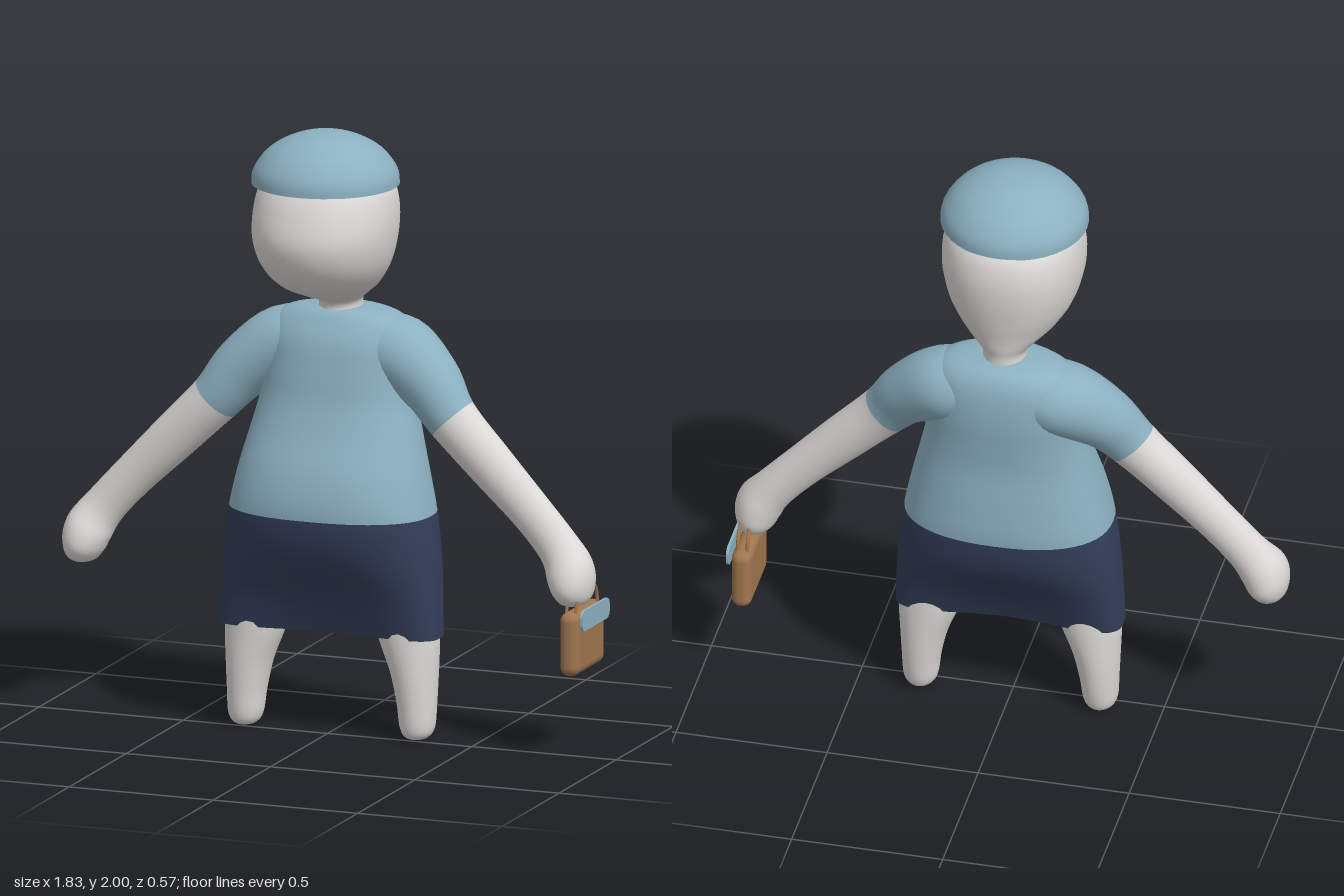
import * as THREE from 'three';
import { RoundedBoxGeometry } from 'three/addons/geometries/RoundedBoxGeometry.js';

const mat = (name, color) => {
  const m = new THREE.MeshStandardMaterial({ color });
  m.name = name;
  return m;
};

// Smooth skin through rings [x, y, z, halfWidth, halfDepth, squareness = 1, pinch = 0].
// upright keeps the rings level; otherwise they turn with the path in the xy plane.
// cut is the ring index where the second material begins.
function loft(rings, { upright = true, cut = 0, seg = 36, sub = 5 } = {}) {
  const full = rings.map(r => [r[0], r[1], r[2], r[3], r[4], r[5] ?? 1, r[6] ?? 0]);
  const curves = full[0].map((_, k) =>
    new THREE.SplineCurve(full.map((r, i) => new THREE.Vector2(i, r[k]))));
  const steps = (rings.length - 1) * sub;
  const at = i => curves.map(c => c.getPoint(Math.min(1, Math.max(0, i / steps))).y);
  const pos = [], idx = [];
  for (let i = 0; i <= steps; i++) {
    const [x, y, z, w, d, e, pinch] = at(i);
    const a = at(i - 1), b = at(i + 1);
    const t = upright ? new THREE.Vector2(0, 1)
      : new THREE.Vector2(b[0] - a[0], b[1] - a[1]).normalize();
    for (let j = 0; j < seg; j++) {
      const ang = j / seg * Math.PI * 2, c = Math.cos(ang), s = Math.sin(ang);
      const u = Math.sign(c) * Math.abs(c) ** e;
      const v = Math.sign(s) * Math.abs(s) ** e * (1 - pinch * (1 - u * u) ** 2);
      pos.push(x + t.y * u * w, y - t.x * u * w, z + v * d);
      if (i < steps) {
        const p = i * seg + j, q = i * seg + (j + 1) % seg;
        idx.push(p, p + seg, q, q, p + seg, q + seg);
      }
    }
  }
  const g = new THREE.BufferGeometry();
  g.setAttribute('position', new THREE.Float32BufferAttribute(pos, 3));
  g.setIndex(idx);
  g.computeVertexNormals();
  if (cut) {
    const n = cut * sub * seg * 6;
    g.addGroup(0, n, 0);
    g.addGroup(n, idx.length - n, 1);
  }
  return g;
}

// Level ring from height, half width, front z and back z
const ring = (y, w, front, back, e, pinch) =>
  [0, y, (front + back) / 2, w, (front - back) / 2, e, pinch];

export function createModel() {
  const model = new THREE.Group();
  const skin = mat('skin', 0xdcdad6);
  const blue = mat('shirt blue', 0x8cb1c1);
  const navy = mat('skirt navy', 0x333e58);
  const tan = mat('bag tan', 0xa0764e);
  skin.side = blue.side = navy.side = THREE.DoubleSide;
  const add = (name, geo, material, parent = model) => {
    const m = new THREE.Mesh(geo, material);
    m.name = name;
    parent.add(m);
    return m;
  };

  // Skirt and shirt, one smooth body
  const hem = ring(0.34, 0.375, 0.06, -0.14, 0.55, 0.45);
  add('skirtAndShirt', loft([
    hem,
    ring(0.46, 0.37, 0.09, -0.18, 0.65, 0.2),
    ring(0.6, 0.36, 0.145, -0.245, 0.78, 0),
    ring(0.74, 0.342, 0.18, -0.28, 0.85),
    ring(0.87, 0.315, 0.16, -0.278, 0.87),
    ring(1.0, 0.283, 0.105, -0.268, 0.87),
    ring(1.1, 0.26, 0.07, -0.272, 0.87),
    ring(1.2, 0.25, 0.05, -0.28, 0.87),
    ring(1.29, 0.245, 0.03, -0.277, 0.87),
    ring(1.35, 0.225, 0.0, -0.262, 0.9),
    ring(1.385, 0.17, -0.025, -0.235),
    ring(1.4, 0.06, -0.06, -0.19),
  ], { cut: 3, seg: 56 }), [navy, blue]);
  add('underside', loft([ring(0.355, 0.002, -0.04, -0.042), hem], { seg: 56 }), skin);

  // Head with neck
  add('head', loft([
    ring(1.37, 0.075, -0.035, -0.2),
    ring(1.42, 0.072, -0.03, -0.2),
    ring(1.455, 0.11, 0.07, -0.208),
    ring(1.5, 0.163, 0.18, -0.216),
    ring(1.57, 0.205, 0.252, -0.232, 0.95),
    ring(1.66, 0.227, 0.284, -0.248, 0.92),
    ring(1.75, 0.228, 0.268, -0.25, 0.92),
    ring(1.83, 0.208, 0.232, -0.225, 0.95),
    ring(1.88, 0.15, 0.17, -0.15),
    ring(1.9, 0.002, 0.012, 0.008),
  ]), skin);

  // Cap: domed top with a flat underside
  const dome = new THREE.SplineCurve([[0.24, 1.83], [0.237, 1.862], [0.222, 1.895], [0.185, 1.938],
    [0.13, 1.972], [0.065, 1.994], [0, 2]].map(p => new THREE.Vector2(...p))).getPoints(24);
  const cap = new THREE.Group();
  cap.name = 'cap';
  cap.position.z = 0.017;
  model.add(cap);
  add('capDome', new THREE.LatheGeometry(dome, 40), blue, cap);
  const brim = add('capUnderside', new THREE.CircleGeometry(0.24, 40), blue, cap);
  brim.rotation.x = Math.PI / 2;
  brim.position.y = 1.83;

  for (const [side, label] of [[1, 'left'], [-1, 'right']]) {
    const flip = rings => rings.map(([x, ...rest]) => [x * side, ...rest]);
    // Sleeve, bare arm and rounded hand
    add(label + 'Arm', loft(flip([
      [0.08, 1.275, -0.13, 0.1, 0.125],
      [0.2, 1.25, -0.13, 0.122, 0.133],
      [0.32, 1.17, -0.095, 0.104, 0.108],
      [0.41, 1.065, -0.06, 0.085, 0.082],
      [0.55, 0.925, -0.048, 0.078, 0.068],
      [0.69, 0.785, -0.042, 0.07, 0.06],
      [0.785, 0.68, -0.035, 0.07, 0.065],
      [0.832, 0.61, -0.018, 0.078, 0.09],
      [0.847, 0.55, -0.012, 0.068, 0.092],
      [0.85, 0.508, -0.01, 0.044, 0.06],
      [0.85, 0.492, -0.01, 0.002, 0.002],
    ]), { upright: false, cut: 3, seg: 28 }), [blue, skin]);
    // Leg tapering to a blunt foot
    add(label + 'Leg', loft(flip([
      [0.297, 0.0, -0.035, 0.002, 0.002],
      [0.297, 0.008, -0.035, 0.036, 0.045],
      [0.297, 0.04, -0.037, 0.056, 0.066],
      [0.294, 0.12, -0.04, 0.064, 0.077],
      [0.285, 0.22, -0.042, 0.078, 0.085],
      [0.268, 0.32, -0.043, 0.1, 0.088],
      [0.26, 0.38, -0.043, 0.106, 0.088],
    ]), { seg: 28 }), skin);
  }

  // Handbag hanging from the left hand
  const bag = new THREE.Group();
  bag.name = 'handbag';
  bag.position.set(0.866, 0.385, -0.04);
  model.add(bag);
  add('bagBody', new RoundedBoxGeometry(0.066, 0.21, 0.26, 5, 0.03), tan, bag);
  const flap = new THREE.Shape();
  const w = 0.12, h = 0.034, r = 0.025;
  flap.moveTo(-w + r, -h);
  for (const [sx, sy] of [[1, -1], [1, 1], [-1, 1], [-1, -1]]) {
    const start = sx === sy ? Math.PI / 2 * (sx > 0 ? 0 : 2) : Math.PI / 2 * (sx > 0 ? 3 : 1);
    flap.absarc(sx * (w - r), sy * (h - r), r, start, start + Math.PI / 2, false);
  }
  const flapMesh = add('bagFlap',
    new THREE.ExtrudeGeometry(flap, { depth: 0.009, bevelEnabled: false, curveSegments: 6 }), blue, bag);
  flapMesh.rotation.y = Math.PI / 2;
  flapMesh.position.set(0.04, 0.08, 0);
  // Two looped handles
  for (const x of [-0.016, 0.016]) {
    const path = new THREE.CatmullRomCurve3([[0.095, 0.09], [0.085, 0.14], [0.05, 0.175], [0, 0.185],
      [-0.05, 0.175], [-0.085, 0.14], [-0.095, 0.09]].map(([z, y]) => new THREE.Vector3(x, y, z)));
    add('bagHandle', new THREE.TubeGeometry(path, 28, 0.006, 8), tan, bag);
  }
  return model;
}
